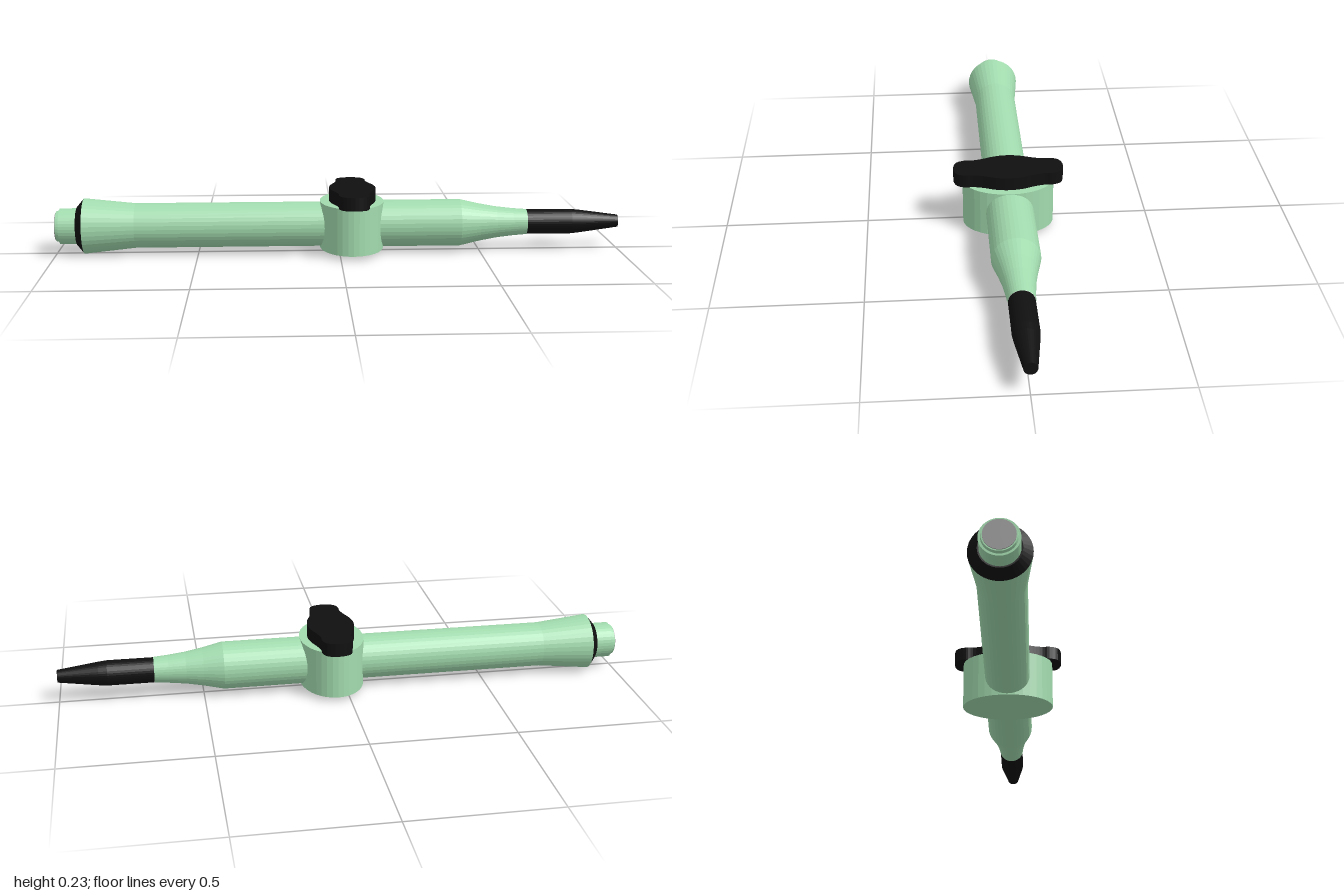
import * as THREE from 'three';

const AXIS_Y = 0.1;   // height of the pipe axis
const TAP_X = 0.044;  // centre of the tap along the pipe
const SIDES = 36;

const material = (color) => new THREE.MeshStandardMaterial({ color, flatShading: true });
const green = material(0xa2dbae);
const black = material(0x101010);
const grey = material(0x999999);

export function createModel() {
  const group = new THREE.Group();

  const add = (name, geometry, mat) => {
    const mesh = new THREE.Mesh(geometry, mat);
    mesh.name = name;
    group.add(mesh);
    return mesh;
  };

  // Turned part along x, profile given as [x, radius] from rear to tip
  const turned = (name, profile, mat) => {
    const points = profile.map(([x, r]) => new THREE.Vector2(r, x));
    const geometry = new THREE.LatheGeometry(points, SIDES).rotateZ(-Math.PI / 2);
    add(name, geometry, mat).position.y = AXIS_Y;
  };

  // Rear end: grey face, stepped plug and black collar
  turned('rearEndFace', [[-1, 0], [-1, 0.05], [-0.995, 0.05]], grey);
  turned('rearPlug', [[-0.997, 0.05], [-0.997, 0.054], [-0.985, 0.056], [-0.985, 0.063], [-0.91, 0.063]], green);
  turned('rearCollar', [[-0.92, 0], [-0.925, 0.068], [-0.9, 0.098]], black);

  // Flared rear tube and tapered front tube
  turned('rearTube', [[-0.9, 0.098], [-0.72, 0.079], [TAP_X, 0.079]], green);
  turned('frontTube', [
    [TAP_X, 0.083], [0.43, 0.083], [0.5, 0.067], [0.56, 0.056], [0.62, 0.049], [0.67, 0.045],
  ], green);

  // Black nozzle with a blunt end
  turned('nozzle', [[0.67, 0], [0.67, 0.044], [0.83, 0.044], [0.86, 0.041], [1, 0.022], [1, 0]], black);

  // Oval tap housing
  const housing = new THREE.CylinderGeometry(1, 1, 0.167, SIDES).scale(0.113, 1, 0.16);
  add('tapHousing', housing, green).position.set(TAP_X, 0.1005, 0);

  // Waisted tap handle: one quarter outline mirrored to all four
  const quarter = [[0.082, 0], [0.076, 0.045], [0.06, 0.09], [0.052, 0.125], [0.053, 0.15], [0.04, 0.18]];
  const half = [...quarter, [0, 0.192], ...quarter.slice(1).reverse().map(([x, z]) => [-x, z])];
  const outline = [...half, ...half.map(([x, z]) => [-x, -z])];
  const curve = new THREE.CatmullRomCurve3(outline.map(([x, z]) => new THREE.Vector3(x, z, 0)), true);
  const shape = new THREE.Shape(curve.getPoints(72).slice(0, -1).map((p) => new THREE.Vector2(p.x, p.y)));
  const handle = new THREE.ExtrudeGeometry(shape, { depth: 0.047, bevelEnabled: false }).rotateX(-Math.PI / 2);
  add('tapHandle', handle, black).position.set(TAP_X + 0.002, 0.184, 0);

  return group;
}
